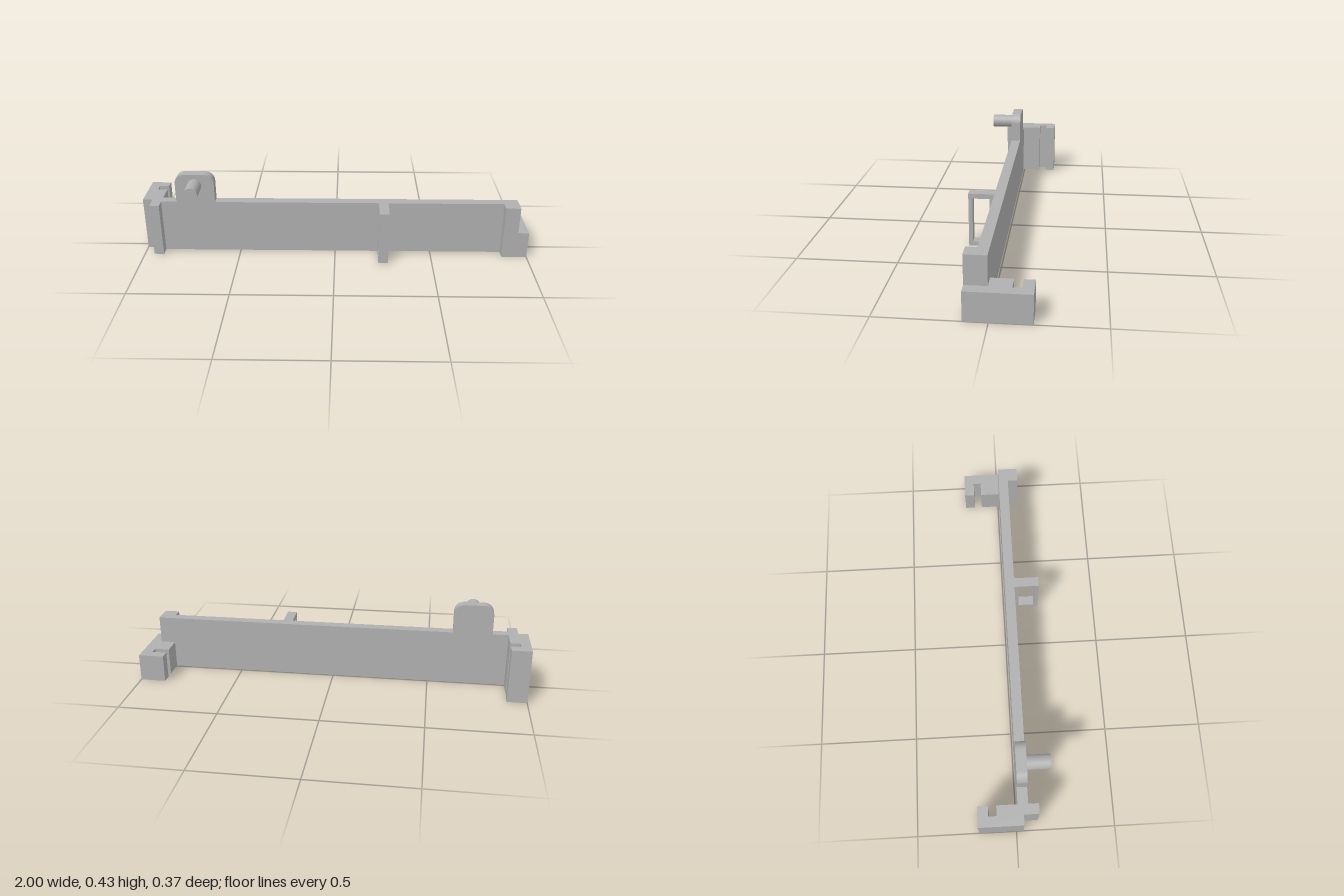
import * as THREE from 'three';

const BACK = 0.007, FRONT = 0.058, H = 0.28, MID = 0.14;

export function createModel() {
  const group = new THREE.Group();
  const grey = new THREE.MeshStandardMaterial({ color: 0xb0b0b0 });
  grey.name = 'grey plastic';

  const add = (name, geometry, x = 0, y = 0, z = 0) => {
    const mesh = new THREE.Mesh(geometry, grey);
    mesh.name = name;
    mesh.position.set(x, y, z);
    group.add(mesh);
    return mesh;
  };

  // Extrudes a plan outline of [x, z] points upwards
  const plan = (name, points, y0, y1) => {
    const shape = new THREE.Shape(points.map(([x, z]) => new THREE.Vector2(x, -z)));
    const geo = new THREE.ExtrudeGeometry(shape, { depth: y1 - y0, bevelEnabled: false });
    add(name, geo.rotateX(-Math.PI / 2), 0, y0, 0);
  };

  // Long panel with the rounded tab rising from its top edge
  const l = -0.82, r = -0.62, top = 0.432, c = 0.05;
  const outline = new THREE.Shape();
  outline.moveTo(-0.9, 0);
  outline.lineTo(0.87, 0);
  outline.lineTo(0.87, H);
  outline.lineTo(r, H);
  outline.lineTo(r, top - c);
  outline.absarc(r - c, top - c, c, 0, Math.PI / 2, false);
  outline.absarc(l + c, top - c, c, Math.PI / 2, Math.PI, false);
  outline.lineTo(l, H);
  outline.lineTo(-0.9, H);
  outline.closePath();
  add('panel', new THREE.ExtrudeGeometry(outline, {
    depth: FRONT - BACK, bevelEnabled: false, curveSegments: 12,
  }), 0, 0, BACK);

  // Round peg on the tab
  const pegLength = 0.175 - FRONT;
  add('peg', new THREE.CylinderGeometry(0.036, 0.036, pegLength, 32).rotateX(Math.PI / 2),
    -0.72, 0.372, FRONT + pegLength / 2);

  // Full-height end bracket with a slot behind and a lip in front
  plan('rightBracket', [
    [-1, -0.187], [-0.9, -0.187], [-0.9, -0.135], [-0.95, -0.135],
    [-0.95, -0.095], [-0.9, -0.095], [-0.9, 0.11], [-0.95, 0.11],
    [-0.95, 0.035], [-1, 0.035],
  ], 0, H);

  // Half-height slotted end bracket, with a taller post at the front
  plan('leftBracket', [
    [0.87, -0.187], [1, -0.187], [1, 0.11], [0.87, 0.11],
    [0.87, -0.095], [0.945, -0.095], [0.945, -0.135], [0.87, -0.135],
  ], 0, MID);
  plan('leftPost', [[0.87, BACK], [0.945, BACK], [0.945, 0.11], [0.87, 0.11]], MID, H);

  // Open rectangular loop on the front, drawn in side profile (u = -z)
  const rect = (path, z0, z1, y0, y1) => {
    path.moveTo(-z1, y0);
    path.lineTo(-z0, y0);
    path.lineTo(-z0, y1);
    path.lineTo(-z1, y1);
    path.closePath();
    return path;
  };
  const frame = rect(new THREE.Shape(), FRONT, 0.187, 0, H);
  frame.holes.push(rect(new THREE.Path(), 0.082, 0.167, 0.023, 0.255));
  add('loop', new THREE.ExtrudeGeometry(frame, { depth: 0.05, bevelEnabled: false })
    .rotateY(Math.PI / 2), 0.225, 0, 0);

  return group;
}
